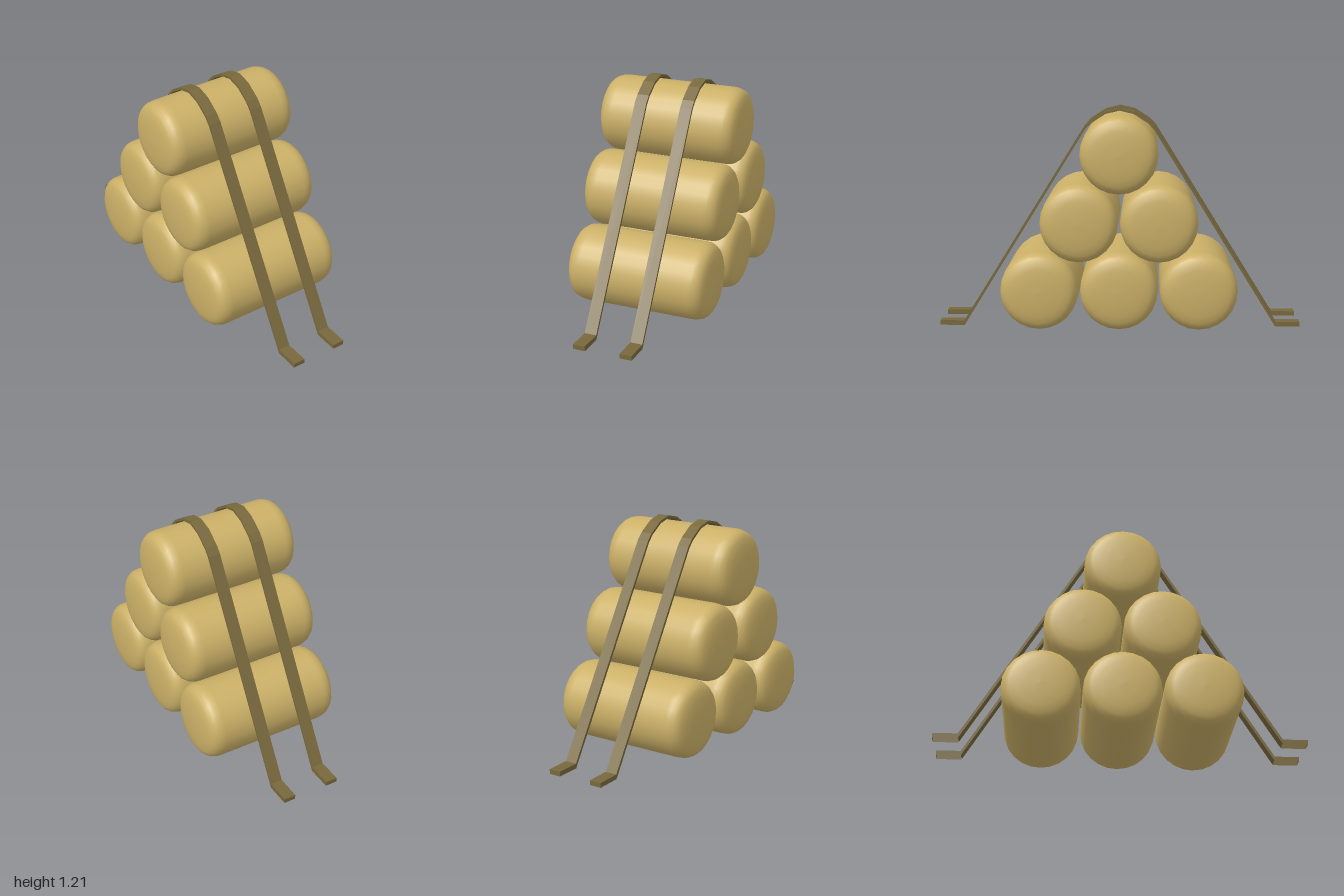
import * as THREE from 'three';

export function createModel() {
  const model = new THREE.Group();
  const tan = new THREE.MeshStandardMaterial({ color: 0xcbb067 });
  tan.name = 'tan barrel';
  const brown = new THREE.MeshStandardMaterial({ color: 0x78683c, side: THREE.DoubleSide });
  brown.name = 'brown strap';

  // Barrel: cylinder with softly rounded, slightly domed ends, lying along x
  const half = [[0.212, 0.31], [0.21, 0.335], [0.202, 0.358], [0.188, 0.376],
    [0.168, 0.388], [0.13, 0.398], [0.07, 0.404], [0, 0.406]];
  const profile = [
    ...half.map(([r, h]) => new THREE.Vector2(r, -h)).reverse(),
    ...half.map(([r, h]) => new THREE.Vector2(r, h)),
  ];
  const barrelGeometry = new THREE.LatheGeometry(profile, 24).rotateZ(Math.PI / 2);

  // Pyramid stack: rows of three, two and one
  for (let row = 0; row < 3; row++) {
    const count = 3 - row;
    for (let i = 0; i < count; i++) {
      const barrel = new THREE.Mesh(barrelGeometry, tan);
      barrel.name = `barrelRow${row + 1}Number${i + 1}`;
      barrel.position.set(0, 0.231 + row * 0.369, (i - (count - 1) / 2) * 0.433);
      model.add(barrel);
    }
  }

  // Strap: thin band over the stack, drawn as [z, y] and mirrored front to back
  const width = 0.067;
  const outer = [[0.866, 0.026], [0.2, 1.1], [0.165, 1.137], [0.082, 1.19], [0, 1.21]];
  const inner = [[0, 1.196], [0.077, 1.178], [0.156, 1.127], [0.189, 1.092], [0.862, 0.004]];
  const mirror = (pts) => pts.map(([z, y]) => [-z, y]).reverse();
  const outline = [...outer, ...mirror(outer).slice(1), ...mirror(inner), ...inner.slice(1)];
  const shape = new THREE.Shape(outline.map(([z, y]) => new THREE.Vector2(z, y)));
  const bandGeometry = new THREE.ExtrudeGeometry(shape, { depth: width, bevelEnabled: false })
    .translate(0, 0, -width / 2)
    .rotateY(-Math.PI / 2);

  // Foot: shallow tray, open underneath
  const footGeometry = new THREE.BoxGeometry(width, 0.026, 0.136);
  const faces = Array.from(footGeometry.index.array);
  faces.splice(18, 6);
  footGeometry.setIndex(faces);
  footGeometry.clearGroups();

  for (const side of [-1, 1]) {
    const strap = new THREE.Group();
    strap.name = side > 0 ? 'leftStrap' : 'rightStrap';
    const band = new THREE.Mesh(bandGeometry, brown);
    band.name = 'strapBand';
    strap.add(band);
    for (const end of [-1, 1]) {
      const foot = new THREE.Mesh(footGeometry, brown);
      foot.name = end > 0 ? 'frontFoot' : 'backFoot';
      foot.position.set(0, 0.013, end * 0.932);
      strap.add(foot);
    }
    strap.position.x = side * 0.132;
    model.add(strap);
  }
  return model;
}
